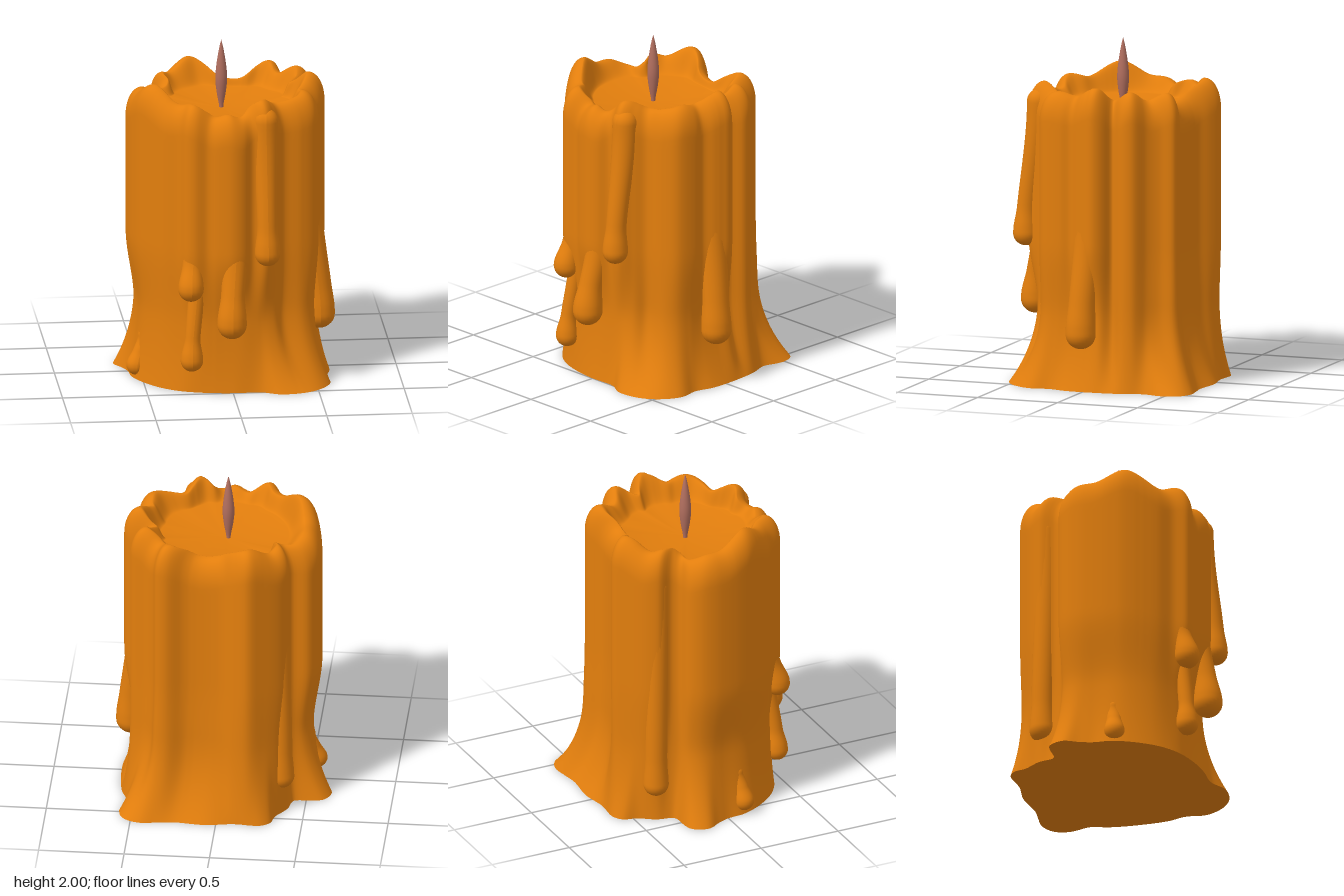
import * as THREE from 'three';

const COLS = 260;
const smooth = THREE.MathUtils.smoothstep, lerp = THREE.MathUtils.lerp;

// Upper outline as x, z
const RIM = [
  [0.585, -0.05], [0.56, 0.04], [0.52, 0.11], [0.53, 0.17], [0.5, 0.29], [0.42, 0.34], [0.31, 0.365], [0.265, 0.42],
  [0.2, 0.495], [0.12, 0.48], [0.06, 0.525], [0, 0.54], [-0.08, 0.52], [-0.15, 0.49],
  [-0.22, 0.5], [-0.27, 0.48], [-0.31, 0.41], [-0.4, 0.34], [-0.52, 0.18], [-0.55, 0.1], [-0.57, 0],
  [-0.575, -0.09], [-0.555, -0.17], [-0.5, -0.23], [-0.42, -0.24], [-0.39, -0.29], [-0.41, -0.36],
  [-0.37, -0.43], [-0.27, -0.51], [-0.18, -0.56], [-0.1, -0.53], [-0.03, -0.48], [0.1, -0.45],
  [0.2, -0.45], [0.3, -0.49], [0.36, -0.475], [0.385, -0.4], [0.43, -0.34], [0.52, -0.28],
  [0.53, -0.21], [0.48, -0.14], [0.55, -0.1]];

// Lower wall outline, behind the drips
const BODY = [
  [0.51, 0], [0.5, 0.1], [0.5, 0.2], [0.48, 0.28], [0.42, 0.33], [0.3, 0.35], [0.25, 0.41], [0.1, 0.455],
  [0, 0.46], [-0.2, 0.445], [-0.3, 0.39], [-0.4, 0.31], [-0.49, 0.16], [-0.515, 0], [-0.525, -0.1],
  [-0.51, -0.16], [-0.47, -0.21], [-0.41, -0.24], [-0.38, -0.3], [-0.385, -0.36], [-0.36, -0.42],
  [-0.27, -0.5], [-0.18, -0.55], [-0.1, -0.53], [-0.03, -0.49], [0.1, -0.46], [0.2, -0.46],
  [0.3, -0.5], [0.37, -0.48], [0.395, -0.4], [0.44, -0.34], [0.52, -0.28], [0.53, -0.21], [0.48, -0.14], [0.53, -0.08]];

// Puddled foot outline
const FOOT = [
  [0.6, 0.1], [0.57, 0.22], [0.585, 0.34], [0.52, 0.46], [0.42, 0.53], [0.27, 0.55], [0.17, 0.5],
  [0, 0.5], [-0.15, 0.48], [-0.3, 0.43], [-0.42, 0.34], [-0.52, 0.2], [-0.56, 0.1], [-0.57, 0],
  [-0.6, -0.08], [-0.64, -0.15], [-0.63, -0.21], [-0.59, -0.26], [-0.52, -0.27], [-0.43, -0.28], [-0.4, -0.38],
  [-0.33, -0.49], [-0.32, -0.55], [-0.26, -0.595], [-0.1, -0.59], [0.06, -0.615], [0.25, -0.6], [0.46, -0.62],
  [0.55, -0.57], [0.575, -0.48], [0.545, -0.36], [0.58, -0.25], [0.6, -0.1]];

// Rim heights as angle in degrees, height
const CREST = [
  [-6, 1.78], [12, 1.72], [25, 1.74], [48, 1.7], [67, 1.75], [83, 1.66], [93, 1.68], [104, 1.66],
  [118, 1.73], [135, 1.71], [160, 1.79], [180, 1.71], [192, 1.7], [207, 1.66], [222, 1.72], [232, 1.7],
  [250, 1.765], [270, 1.67], [290, 1.66], [305, 1.745], [318, 1.7], [332, 1.76], [344, 1.7]];

const fullTurn = (a) => (a + Math.PI * 4) % (Math.PI * 2);

// Smooth closed curve through the points, resampled per column of angle
function byAngle(points, value) {
  const samples = new THREE.CatmullRomCurve3(points, true).getPoints(1200)
    .map((p) => [fullTurn(Math.atan2(p.z, p.x)), value(p)]);
  return Array.from({ length: COLS }, (_, i) => {
    const a = (i / COLS) * Math.PI * 2;
    const near = samples.filter((s) => Math.abs(s[0] - a) < 0.02);
    return near.reduce((sum, s) => sum + s[1], 0) / near.length;
  });
}
const outline = (pts) => byAngle(pts.map(([x, z]) => new THREE.Vector3(x, 0, z)), (p) => Math.hypot(p.x, p.z));

// Skin of rings; each ring gives [radius, height] for a column
function loft(rings) {
  const pos = [], idx = [];
  rings.forEach((ring, k) => {
    for (let i = 0; i < COLS; i++) {
      const a = (i / COLS) * Math.PI * 2, [r, y] = ring(i), n = k * COLS + (i + 1) % COLS, c = k * COLS + i;
      pos.push(r * Math.cos(a), y, r * Math.sin(a));
      if (k < rings.length - 1) idx.push(c, c + COLS, n, n, c + COLS, n + COLS);
    }
  });
  const g = new THREE.BufferGeometry();
  g.setAttribute('position', new THREE.Float32BufferAttribute(pos, 3));
  g.setIndex(idx);
  g.computeVertexNormals();
  return g;
}

// Hanging drip: a lathe with a round blob below and a domed top, leaning from top to blob
function dripGeometry(top, blob, rTop, rNeck, rBlob) {
  const h = top[1] - blob[1], profile = [];
  for (let i = 0; i <= 10; i++) {
    const a = (i / 10) * Math.PI * 0.55;
    profile.push(new THREE.Vector2(rBlob * Math.sin(a), -rBlob * Math.cos(a)));
  }
  const start = profile[10].y, neck = Math.min(rBlob * 2, h * 0.5);
  for (let i = 1; i <= 24; i++) {
    const y = lerp(start, h, i / 24);
    const r = lerp(rBlob, rNeck, smooth(y, 0, neck));
    profile.push(new THREE.Vector2(lerp(r, rTop, smooth(y, neck, h)), y));
  }
  for (let i = 1; i <= 6; i++) {
    const a = (i / 6) * Math.PI / 2;
    profile.push(new THREE.Vector2(Math.max(0, rTop * Math.cos(a)), h + rTop * Math.sin(a)));
  }
  const g = new THREE.LatheGeometry(profile, 24), p = g.attributes.position;
  for (let i = 0; i < p.count; i++) {
    const t = smooth(p.getY(i), 0, h);
    p.setXYZ(i, p.getX(i) + lerp(blob[0], top[0], t), p.getY(i) + blob[1], p.getZ(i) + lerp(blob[2], top[2], t));
  }
  g.computeVertexNormals();
  return g;
}

export function createModel() {
  const group = new THREE.Group();
  const wax = new THREE.MeshStandardMaterial({ color: 0xe27e0d });
  wax.name = 'orange wax';
  const wickMat = new THREE.MeshStandardMaterial({ color: 0xb06e5e });
  wickMat.name = 'brown wick';
  const add = (name, geometry, material) => {
    const m = new THREE.Mesh(geometry, material);
    m.name = name;
    group.add(m);
    return m;
  };

  const rim = outline(RIM), body = outline(BODY), foot = outline(FOOT);
  const crest = byAngle(CREST.map(([d, h]) => {
    const a = THREE.MathUtils.degToRad(d);
    return new THREE.Vector3(Math.cos(a), h, Math.sin(a));
  }), (p) => p.y);

  // Wall radius: fluted sheet above, plain wall below, flaring into the foot
  const wall = (i, y) => {
    const r = lerp(body[i], rim[i], smooth(y, 0.4, 0.85));
    return lerp(r, foot[i], Math.pow(Math.max(0, 1 - y / 0.5), 2.1));
  };
  const rings = [];
  for (let k = 0; k <= 44; k++) {
    const t = Math.pow(k / 44, 1.25);
    rings.push((i) => { const y = t * (crest[i] - 0.17); return [wall(i, y), y]; });
  }
  // Rounded shoulder up to the crest
  const INSET = 0.095;
  for (let k = 1; k <= 10; k++) {
    const a = (k / 10) * Math.PI / 2;
    rings.push((i) => [rim[i] - INSET * (1 - Math.cos(a)), crest[i] - 0.17 * (1 - Math.sin(a))]);
  }
  // Inner slope down to the melted pool, evening out towards a circle
  const pool = (i) => 0.2 + 0.3 * rim[i];
  for (let k = 1; k <= 12; k++) {
    const t = k / 12;
    rings.push((i) => [lerp(rim[i] - INSET, pool(i), t), lerp(crest[i], 1.615, smooth(t, 0, 1))]);
  }
  for (const s of [0.8, 0.6, 0.4, 0.2, 0]) rings.push((i) => [pool(i) * s, 1.59 + 0.025 * s * s]);
  add('candleBody', loft(rings), wax);
  add('candleUnderside', loft([0, 0.5, 1].map((t) => (i) => [foot[i] * t, 0])), wax);

  // Drips: top, blob centre, top radius, neck radius, blob radius
  const drips = {
    frontLeftDrip: [[0.195, 1.63, 0.425], [0.2, 0.85, 0.51], 0.075, 0.06, 0.075],
    frontCentreDrip: [[0.02, 0.95, 0.445], [-0.01, 0.43, 0.53], 0.08, 0.07, 0.087],
    frontUpperDrip: [[-0.225, 0.9, 0.41], [-0.245, 0.635, 0.475], 0.07, 0.058, 0.075],
    frontLowerDrip: [[-0.2, 0.75, 0.42], [-0.24, 0.2, 0.475], 0.05, 0.045, 0.066],
    leftSideDrip: [[0.475, 1.05, 0.0], [0.55, 0.335, 0.03], 0.09, 0.08, 0.09],
    backRightDrip: [[-0.335, 1.5, -0.345], [-0.365, 0.22, -0.37], 0.07, 0.065, 0.075],
    rightFootDrip: [[-0.48, 0.25, 0.1], [-0.53, 0.075, 0.12], 0.04, 0.045, 0.06],
  };
  for (const [name, d] of Object.entries(drips)) add(name, dripGeometry(...d), wax);

  // Spindle-shaped wick
  const spindle = new THREE.SplineCurve([[0.012, 1.57], [0.014, 1.61], [0.028, 1.69], [0.035, 1.77], [0.027, 1.86], [0.012, 1.95], [0, 2]]
    .map(([r, y]) => new THREE.Vector2(r, y))).getPoints(30);
  spindle.forEach((p) => { p.x = Math.max(0, p.x); });
  add('wick', new THREE.LatheGeometry(spindle, 20), wickMat).position.set(-0.022, 0, -0.012);
  return group;
}
